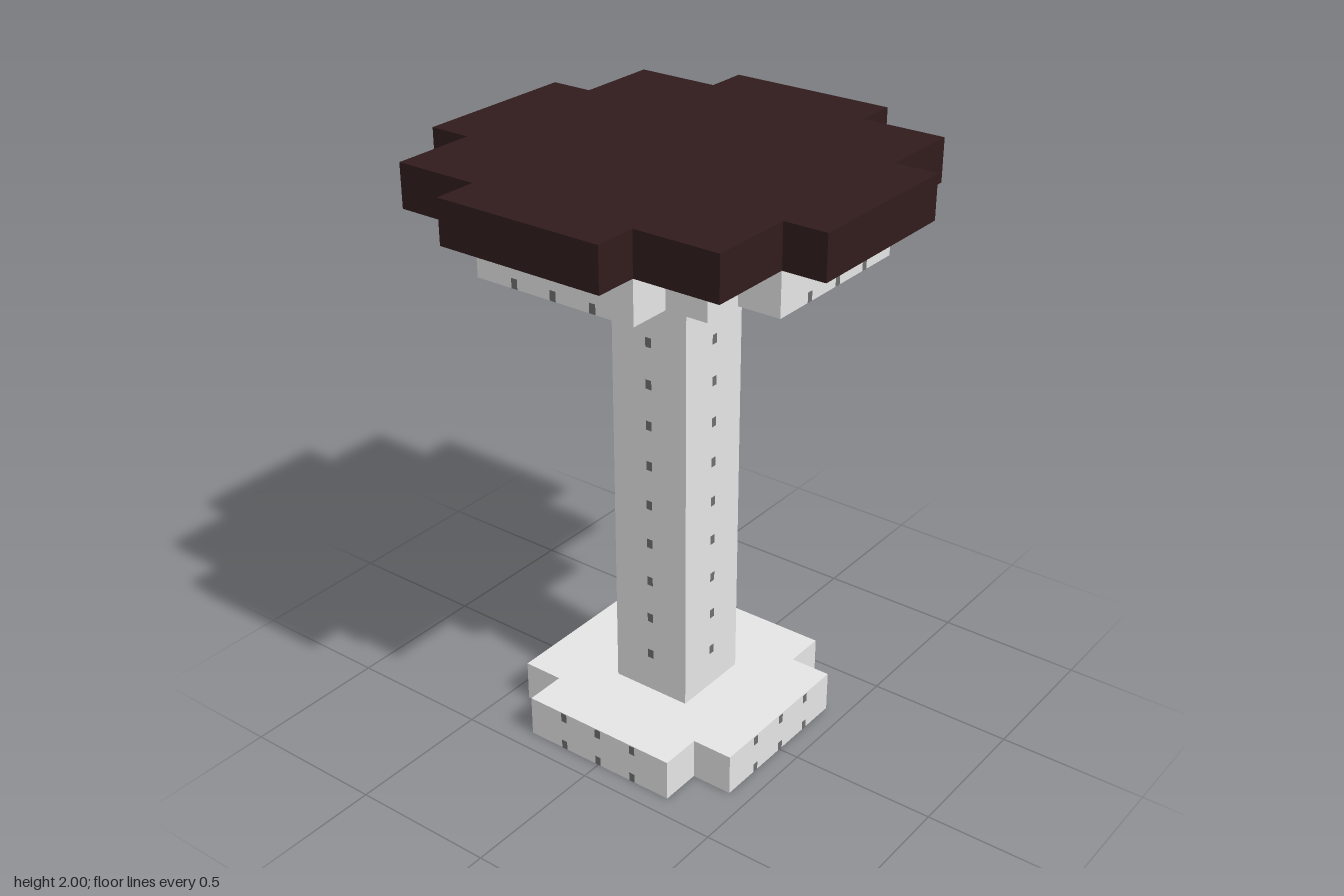
import * as THREE from 'three';
import { mergeGeometries } from 'three/addons/utils/BufferGeometryUtils.js';

const U = 1 / 7; // one block

// Four-fold symmetric stepped outline from the corners of one quadrant (in blocks)
function outline(corners) {
  const pts = [];
  for (let q = 0; q < 4; q++) {
    for (const [x, y] of corners) {
      pts.push(new THREE.Vector2(x * U, y * U).rotateAround(new THREE.Vector2(), q * Math.PI / 2));
    }
  }
  return pts;
}

// Upright walls along an outline
function walls(pts, h) {
  const pos = [], uv = [];
  pts.forEach((a, i) => {
    const b = pts[(i + 1) % pts.length];
    pos.push(a.x, a.y, 0, b.x, b.y, 0, b.x, b.y, h, a.x, a.y, 0, b.x, b.y, h, a.x, a.y, h);
    uv.push(0, 0, 1, 0, 1, 1, 0, 0, 1, 1, 0, 1);
  });
  const g = new THREE.BufferGeometry();
  g.setAttribute('position', new THREE.Float32BufferAttribute(pos, 3));
  g.setAttribute('uv', new THREE.Float32BufferAttribute(uv, 2));
  g.computeVertexNormals();
  return g;
}

// Hollow slab, closed at its 'top', its 'bottom' or neither; hole cuts the closed face
function shell(name, material, corners, y0, y1, closed, hole) {
  const pts = outline(corners), h = (y1 - y0) * U;
  const parts = [walls(pts, h)];
  if (closed) {
    const shape = new THREE.Shape(pts);
    if (hole) shape.holes.push(new THREE.Path(outline(hole)));
    const cap = new THREE.ShapeGeometry(shape).toNonIndexed();
    if (closed === 'top') cap.translate(0, 0, h);
    else cap.rotateX(Math.PI);
    parts.push(cap);
  }
  const mesh = new THREE.Mesh(mergeGeometries(parts).rotateX(-Math.PI / 2), material);
  mesh.name = name;
  mesh.position.y = y0 * U;
  return mesh;
}

// Small dark marks where four blocks meet, on the four main sides at the given distance
function jointMarks(name, material, dist, columns, rows) {
  const w = 0.022, h = 0.032, marks = [];
  for (let side = 0; side < 4; side++) {
    for (const x of columns) {
      for (const y of rows) {
        marks.push(new THREE.PlaneGeometry(w, h)
          .translate(x * U, y * U, dist * U + 0.002)
          .rotateY(side * Math.PI / 2));
      }
    }
  }
  const mesh = new THREE.Mesh(mergeGeometries(marks), material);
  mesh.name = name;
  return mesh;
}

export function createModel() {
  const metal = new THREE.MeshStandardMaterial({ color: 0xe6e6e6, side: THREE.DoubleSide });
  metal.name = 'pale grey metal';
  const leather = new THREE.MeshStandardMaterial({ color: 0x311c1c, side: THREE.DoubleSide });
  leather.name = 'dark brown leather';
  const joint = new THREE.MeshStandardMaterial({ color: 0x707070 });
  joint.name = 'dark grey joint';

  const post = [[1, 1]];
  const group = new THREE.Group();
  group.name = 'stool';
  group.add(
    // Foot, open underneath, with the hollow post rising out of it
    shell('base', metal, [[3, 2], [2, 2], [2, 3]], 0, 1, 'top', post),
    shell('post', metal, post, 1, 12),
    // Support plate under the seat
    shell('seatSupport', metal, [[4, 2], [3, 2], [3, 3], [2, 3], [2, 4]], 12, 13, 'bottom'),
    // Seat cushion, open underneath
    shell('seat', leather, [[5, 2], [4, 2], [4, 4], [2, 4], [2, 5]], 13, 14, 'top'),
    // Joint marks on the metal sides
    jointMarks('postJoints', joint, 1, [0], [2, 3, 4, 5, 6, 7, 8, 9, 10, 11]),
    jointMarks('baseJoints', joint, 3, [-1, 0, 1], [0.12, 0.88]),
    jointMarks('supportJoints', joint, 4, [-1, 0, 1], [12.12, 12.88])
  );
  return group;
}
